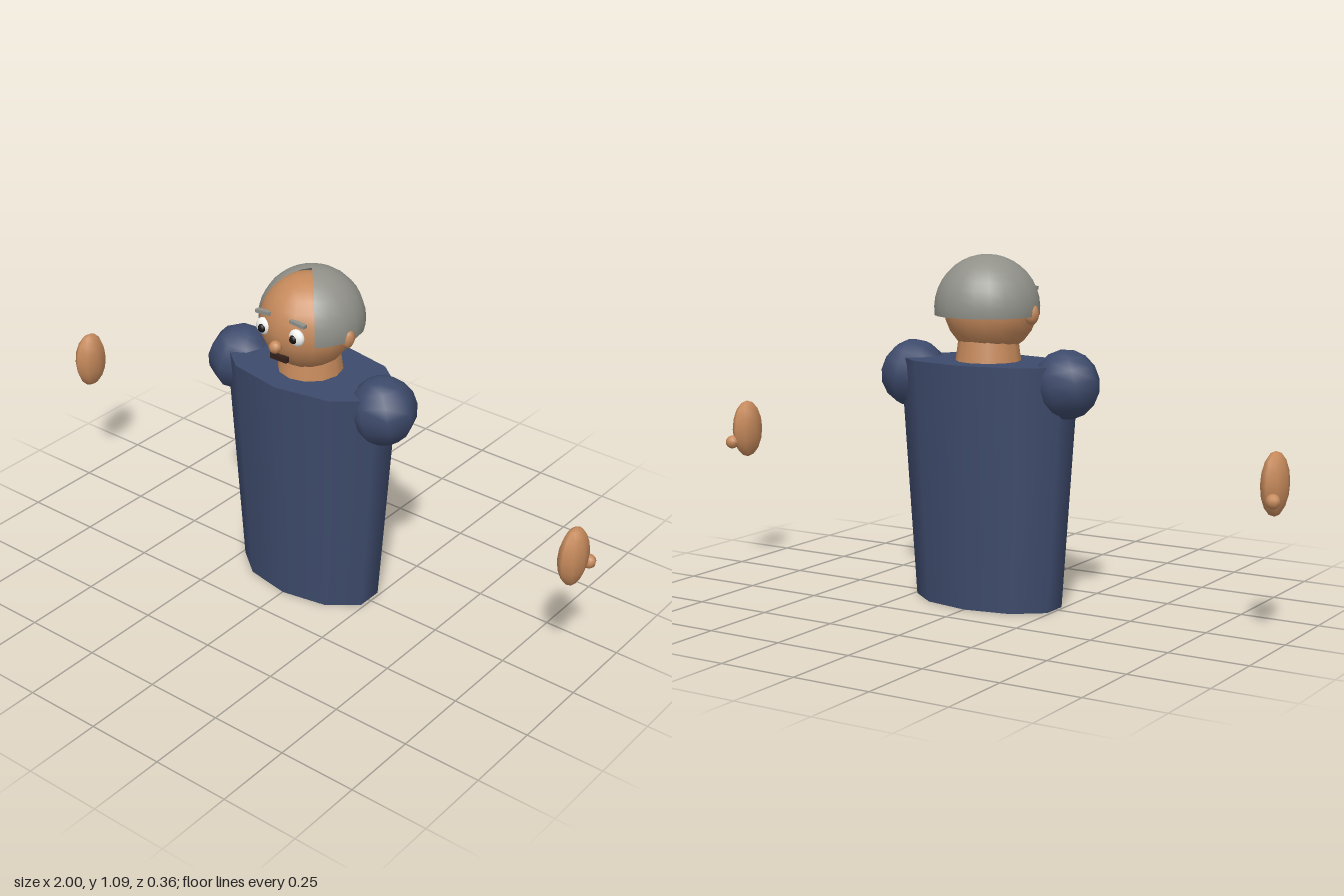
import * as THREE from 'three';

const material = (color, side = THREE.FrontSide) => new THREE.MeshStandardMaterial({ color, side });
const cloth = material(0x3d4a6b);
const skin = material(0xc68a5c);
const hairGrey = material(0x91918a, THREE.DoubleSide);
const white = material(0xf4f4f0);
const black = material(0x141414);
const lip = material(0x33201a);

export function createModel() {
  const model = new THREE.Group();
  model.name = 'bust';

  const add = (name, geometry, mat, x, y, z) => {
    const mesh = new THREE.Mesh(geometry, mat);
    mesh.name = name;
    mesh.position.set(x, y, z);
    model.add(mesh);
    return mesh;
  };
  // Ellipsoid with half-sizes rx, ry, rz
  const ball = (name, mat, [x, y, z], [rx, ry, rz], w = 8, h = 8) => {
    const mesh = add(name, new THREE.SphereGeometry(1, w, h), mat, x, y, z);
    mesh.scale.set(rx, ry, rz);
    return mesh;
  };

  // Tapered ten-sided torso, flattened front to back
  const torso = add('torso', new THREE.CylinderGeometry(0.173, 0.1425, 0.76, 10), cloth, 0, 0.38, -0.005);
  torso.scale.x = 1.77;

  // Neck and head
  add('neck', new THREE.CylinderGeometry(0.092, 0.108, 0.12, 12), skin, 0, 0.77, -0.005);
  ball('head', skin, [0, 0.926, 0.008], [0.147, 0.147, 0.147], 16, 12);

  // Hair cap, left open over the forehead
  const gap = 0.72;
  add('hair', new THREE.SphereGeometry(0.163, 16, 10, Math.PI / 2 + gap, 2 * (Math.PI - gap), 0, 1.71),
    hairGrey, 0, 0.924, -0.012);

  // Middle of the face
  ball('nose', skin, [0, 0.893, 0.162], [0.02, 0.02, 0.02]);
  add('mouth', new THREE.BoxGeometry(0.062, 0.017, 0.014), lip, 0, 0.851, 0.143);

  // Paired parts
  for (const [label, s] of [['left', 1], ['right', -1]]) {
    ball(label + 'Eye', white, [s * 0.063, 0.935, 0.139], [0.027, 0.027, 0.016], 12, 8);
    ball(label + 'Pupil', black, [s * 0.06, 0.933, 0.152], [0.013, 0.014, 0.01]);
    const brow = add(label + 'Eyebrow', new THREE.BoxGeometry(0.054, 0.011, 0.016), hairGrey, s * 0.065, 0.979, 0.135);
    brow.rotation.z = -s * 0.08;
    ball(label + 'Ear', skin, [s * 0.148, 0.908, 0.006], [0.022, 0.033, 0.026]);
    const shoulder = ball(label + 'Shoulder', cloth, [s * 0.277, 0.703, -0.005], [0.104, 0.107, 0.107]);
    shoulder.rotation.z = s * 0.2;

    // Floating hand with thumb
    ball(label + 'Hand', skin, [s * 0.959, 0.467, -0.005], [0.038, 0.095, 0.064]);
    ball(label + 'Thumb', skin, [s * 0.978, 0.427, -0.063], [0.022, 0.022, 0.022]);
  }

  return model;
}
